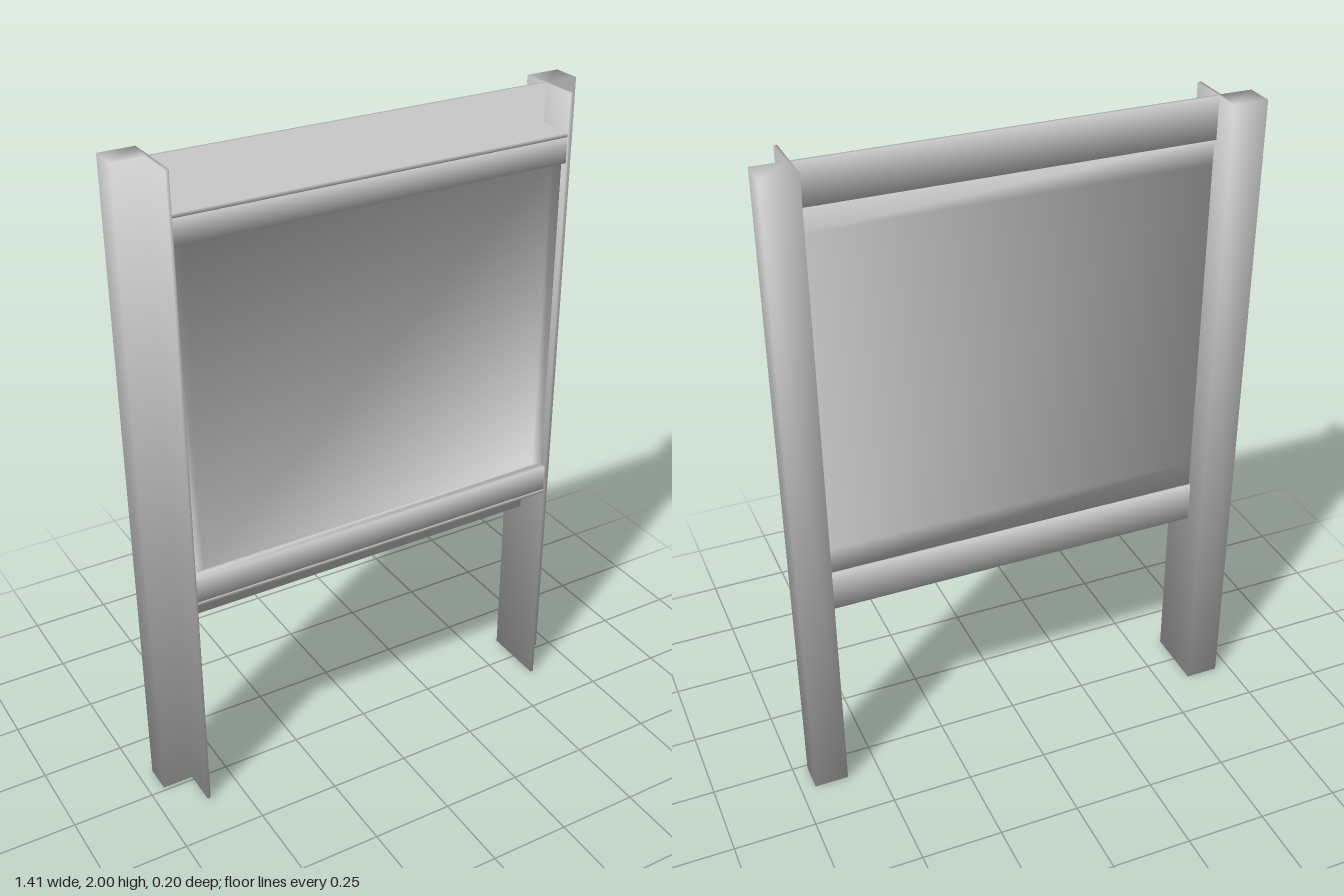
import * as THREE from 'three';

const material = new THREE.MeshStandardMaterial({ color: 0xcccccc, side: THREE.DoubleSide });

// Smooth normals in which every face direction meeting at a corner counts equally
function smooth(positions) {
  const geometry = new THREE.BufferGeometry();
  geometry.setAttribute('position', new THREE.Float32BufferAttribute(positions, 3));
  geometry.computeVertexNormals();
  const position = geometry.attributes.position;
  const normal = geometry.attributes.normal;
  const corners = new Map();
  const keys = [];
  for (let i = 0; i < position.count; i++) {
    const key = [position.getX(i), position.getY(i), position.getZ(i)].map((v) => Math.round(v * 1e4)).join();
    const n = new THREE.Vector3().fromBufferAttribute(normal, i);
    const faces = corners.get(key) ?? [];
    if (!faces.some((f) => f.dot(n) > 0.99)) faces.push(n);
    corners.set(key, faces);
    keys.push(key);
  }
  keys.forEach((key, i) => {
    const sum = new THREE.Vector3();
    corners.get(key).forEach((f) => sum.add(f));
    sum.normalize();
    normal.setXYZ(i, sum.x, sum.y, sum.z);
  });
  return geometry;
}

// Extrude a closed outline of [x, y] points along +z, with or without end caps
function extrude(points, depth, capped) {
  const shape = new THREE.Shape(points.map(([x, y]) => new THREE.Vector2(x, y)));
  const solid = new THREE.ExtrudeGeometry(shape, { depth, bevelEnabled: false });
  const start = capped ? 0 : solid.groups[1].start * 3;
  return smooth(Array.from(solid.attributes.position.array).slice(start));
}

const inner = 0.6;       // half width between the posts
const front = 0.1;       // front of the flanges and panel bars
const web = -0.012;      // front of the posts and rail plates, back of the panel
const panelTop = 1.875;
const panelBottom = 0.728;

// Panel block: raised bars above and below, a lower rim between them and a shallow well in the rim
function panelGeometry() {
  const low = 0.81, high = 1.8, rim = 0.08, well = 0.065;
  const positions = [];
  const quad = (a, b, c, d) => positions.push(...a, ...b, ...c, ...a, ...c, ...d);

  // Back and bars: [z, y] profile swept across the width, left open at the rim
  const profile = [
    [rim, high], [front, high], [front, panelTop], [web, panelTop], [web, high],
    [web, low], [web, panelBottom], [front, panelBottom], [front, low], [rim, low],
  ];
  for (let i = 0; i + 1 < profile.length; i++) {
    const [za, ya] = profile[i];
    const [zb, yb] = profile[i + 1];
    quad([-inner, ya, za], [inner, ya, za], [inner, yb, zb], [-inner, yb, zb]);
  }

  // Sides, rim and well: rectangles joined from back to front and inwards
  const ring = (x, y0, y1, z) => [[-x, y0, z], [x, y0, z], [x, y1, z], [-x, y1, z]];
  const rings = [
    ring(inner, low, high, web),
    ring(inner, low, high, rim),
    ring(0.565, 0.82, 1.79, rim),
    ring(0.565, 0.82, 1.79, well),
  ];
  for (let r = 0; r < 3; r++) {
    for (let i = 0; i < 4; i++) {
      if (r === 0 && i % 2 === 0) continue;
      const j = (i + 1) % 4;
      quad(rings[r][i], rings[r][j], rings[r + 1][j], rings[r + 1][i]);
    }
  }
  quad(...rings[3]);
  return smooth(positions);
}

export function createModel() {
  const model = new THREE.Group();
  const add = (name, geometry) => {
    const mesh = new THREE.Mesh(geometry, material);
    mesh.name = name;
    model.add(mesh);
  };

  // Posts: square section with a thin flange running forward on the inner edge
  for (const [side, name] of [[1, 'leftPost'], [-1, 'rightPost']]) {
    const section = [
      [inner, 0.1], [0.705, 0.1], [0.705, -web], [0.61, -web], [0.61, -front], [inner, -front],
    ].map(([x, y]) => [side * x, y]);
    add(name, extrude(section, 2, true).rotateX(-Math.PI / 2));
  }

  // Rails: thin angle section, an upright plate with a flange lying along the panel
  for (const [dir, edge, name] of [[1, panelTop, 'topRail'], [-1, panelBottom, 'bottomRail']]) {
    const section = [
      [0.022, 0], [0.022, 0.125], [-web, 0.125], [-web, 0.012], [-front, 0.012], [-front, 0],
    ].map(([x, y]) => [x, edge + dir * y]);
    add(name, extrude(section, 2 * inner, false).rotateY(Math.PI / 2).translate(-inner, 0, 0));
  }

  add('panel', panelGeometry());

  return model;
}
